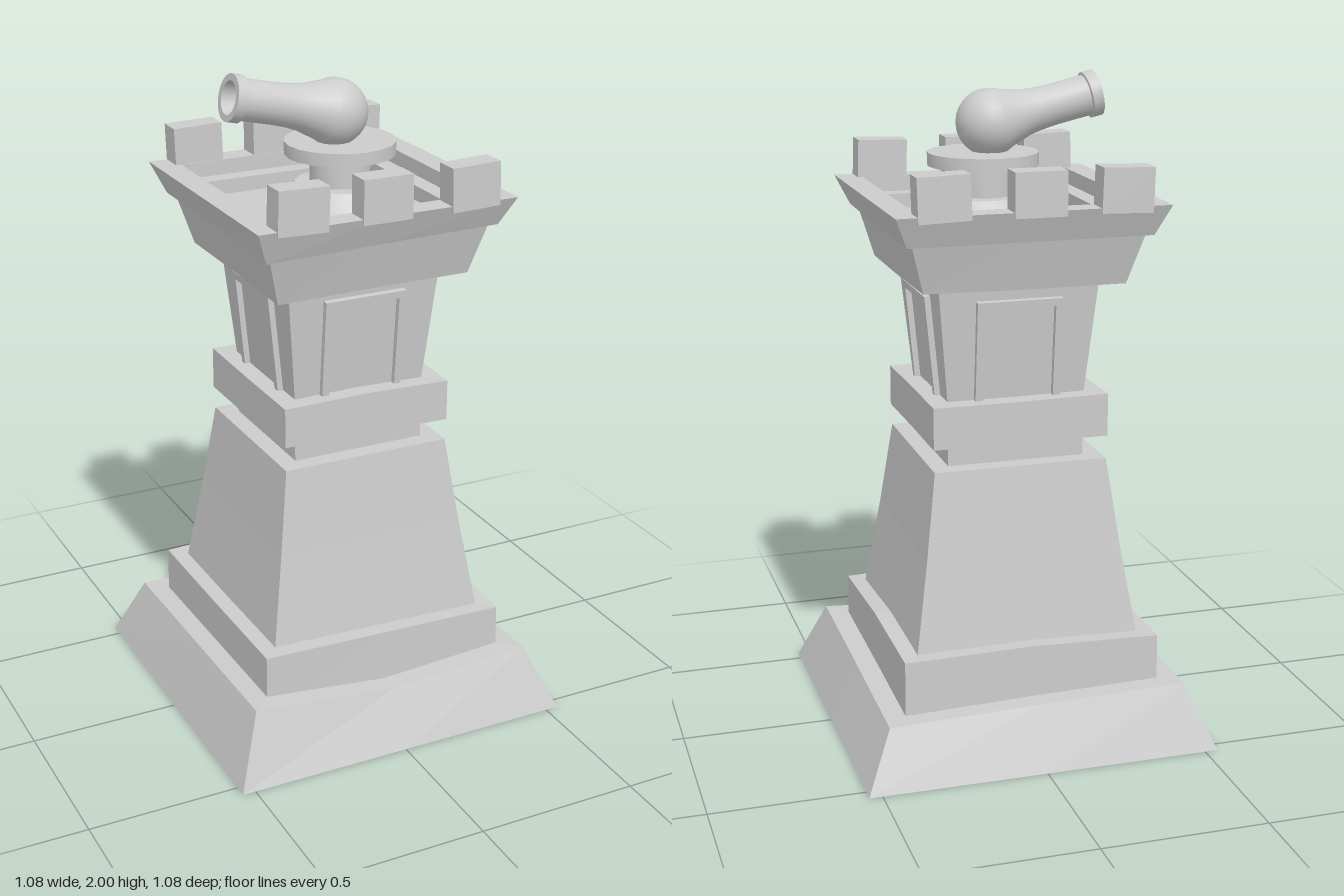
import * as THREE from 'three';
import { toCreasedNormals } from 'three/addons/utils/BufferGeometryUtils.js';

const stone = new THREE.MeshStandardMaterial({ color: 0xcccccc, flatShading: true });
const smooth = new THREE.MeshStandardMaterial({ color: 0xcccccc });

// Corners and edge midpoints of a square, starting front right and running towards +x
const SQUARE = [[-1, 1], [0, 1], [1, 1], [1, 0], [1, -1], [0, -1], [-1, -1], [-1, 0]];

// Skin over stacked square rings [half width, y, optional height changes per point]
function squareLoft(name, rings) {
  const n = SQUARE.length, pos = [], idx = [];
  for (const [h, y, dy] of rings) {
    SQUARE.forEach(([x, z], i) => pos.push(x * h, y + (dy ? dy[i] : 0), z * h));
  }
  const last = (rings.length - 1) * n, low = rings.length * n, high = low + 1;
  pos.push(0, rings[0][1], 0, 0, rings[rings.length - 1][1], 0);
  for (let i = 0; i < n; i++) {
    const j = (i + 1) % n;
    for (let r = 0; r < last; r += n) idx.push(r + i, r + j, r + n + j, r + i, r + n + j, r + n + i);
    idx.push(low, j, i, high, last + i, last + j);
  }
  const geo = new THREE.BufferGeometry();
  geo.setAttribute('position', new THREE.Float32BufferAttribute(pos, 3));
  geo.setIndex(idx);
  geo.computeVertexNormals();
  const mesh = new THREE.Mesh(geo, stone);
  mesh.name = name;
  return mesh;
}

function lathe(name, points, segments) {
  const pts = points.map(([r, y]) => new THREE.Vector2(r, y));
  const geo = toCreasedNormals(new THREE.LatheGeometry(pts, segments), 0.6);
  const mesh = new THREE.Mesh(geo, smooth);
  mesh.name = name;
  return mesh;
}

export function createModel() {
  const model = new THREE.Group();

  // Foot, plinth and shaft, with worn, uneven upper edges
  model.add(
    squareLoft('base', [[0.54, 0], [0.457, 0.19, [0.025, -0.022, 0.005, -0.005, -0.02, -0.005, 0.005, 0.015]]]),
    squareLoft('plinth', [[0.395, 0.14], [0.393, 0.333, [0.007, -0.003, -0.013, 0.01, 0.005, 0.012, 0, 0.002]]]),
    squareLoft('shaft', [[0.345, 0.32], [0.3, 0.61], [0.265, 0.87]]),
    squareLoft('neck', [[0.21, 0.86], [0.21, 0.95]]),
    squareLoft('collar', [[0.268, 0.94, [0.006, 0, -0.004, 0, 0, 0, 0, 0]], [0.268, 1.067, [0, 0.003, -0.006, 0, 0, 0, 0.003, 0]]]),
    squareLoft('turretBody', [[0.21, 1.06], [0.243, 1.41]])
  );

  // Raised frame on each sloping face of the turret
  const frame = new THREE.Shape();
  [[-0.13, 0], [-0.108, 0], [-0.108, 0.285], [0.108, 0.285], [0.108, 0], [0.13, 0], [0.13, 0.307], [-0.13, 0.307]]
    .forEach(([x, y], i) => (i ? frame.lineTo(x, y) : frame.moveTo(x, y)));
  const frameGeo = new THREE.ExtrudeGeometry(frame, { depth: 0.035, bevelEnabled: false });
  for (let i = 0; i < 4; i++) {
    const side = new THREE.Group();
    side.name = 'panelFrame';
    side.rotation.y = i * Math.PI / 2;
    const mesh = new THREE.Mesh(frameGeo, stone);
    mesh.position.set(0, 1.065, 0.193);
    mesh.rotation.x = 0.095;
    side.add(mesh);
    model.add(side);
  }

  // Flared crown with a stepped hollow in its top
  model.add(squareLoft('crown', [
    [0.304, 1.41, [-0.005, 0, 0, 0, 0.005, 0, 0, 0]],
    [0.346, 1.56, [-0.008, 0, 0.006, 0, 0, 0, 0, 0]],
    [0.365, 1.56, [-0.008, 0, 0.006, 0, 0, 0, 0, 0]],
    [0.405, 1.652], [0.33, 1.652], [0.33, 1.605], [0.275, 1.605], [0.275, 1.56]
  ]));

  // Three merlons along the front and three along the back
  for (const z of [0.37, -0.37]) {
    [-0.27, -0.012, 0.267].forEach((x, i) => {
      const merlon = new THREE.Mesh(new THREE.BoxGeometry(0.154, 0.13, 0.075), stone);
      merlon.name = 'merlon';
      merlon.position.set(x, 1.7, z);
      merlon.rotation.z = (i - 1) * 0.03 * Math.sign(z);
      model.add(merlon);
    });
  }

  // Round mount standing in the hollow
  const mount = lathe('cannonMount', [
    [0, 1.55], [0.182, 1.55], [0.182, 1.575], [0.135, 1.64], [0.09, 1.64],
    [0.09, 1.728], [0.166, 1.728], [0.166, 1.767], [0, 1.767]
  ], 20);
  mount.position.x = 0.04;
  model.add(mount);

  // Cannon: round breech, waisted barrel, muzzle ring and bore
  const profile = [];
  for (let i = 0; i <= 11; i++) {
    const a = -Math.PI / 2 + i * 0.19;
    profile.push([Math.max(0, 0.1 * Math.cos(a)), 0.1 * Math.sin(a)]);
  }
  profile.push([0.078, 0.08], [0.069, 0.11], [0.064, 0.145], [0.061, 0.2], [0.061, 0.305],
    [0.069, 0.308], [0.069, 0.34], [0.049, 0.34], [0.045, 0.26], [0, 0.26]);
  const cannon = lathe('cannon', profile, 24);
  cannon.position.set(0.02, 1.852, 0);
  cannon.rotation.z = THREE.MathUtils.degToRad(77);
  model.add(cannon);

  return model;
}
